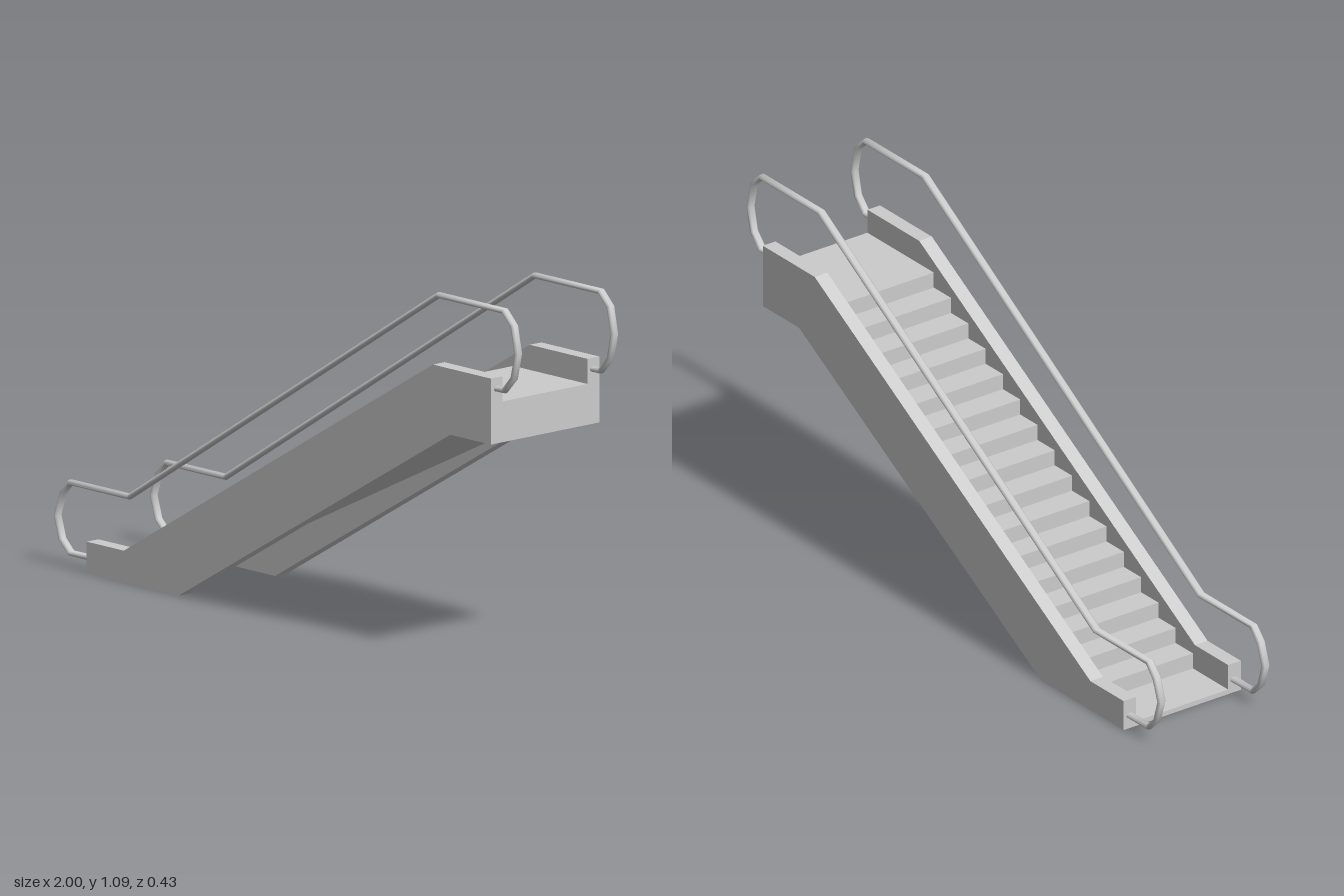
import * as THREE from 'three';
import { toCreasedNormals } from 'three/addons/utils/BufferGeometryUtils.js';

const material = new THREE.MeshStandardMaterial({ color: 0xcccccc });
const INNER = 0.168, OUTER = 0.214, RAIL_Z = 0.19;

// Extrudes a side profile (x, y) between two z values.
function slab(name, points, z0, z1) {
  const shape = new THREE.Shape(points.map(([x, y]) => new THREE.Vector2(x, y)));
  const geometry = new THREE.ExtrudeGeometry(shape, { depth: z1 - z0, bevelEnabled: false });
  geometry.translate(0, 0, z0);
  const mesh = new THREE.Mesh(geometry, material);
  mesh.name = name;
  return mesh;
}

// Sweeps an elliptical section along an x-y path, one ring per corner.
function sweep(path, halfWidth, halfHeight, sides) {
  const pts = path.map(([x, y]) => new THREE.Vector2(x, y));
  const positions = [], index = [];
  pts.forEach((p, i) => {
    const before = pts[Math.max(i - 1, 0)], after = pts[Math.min(i + 1, pts.length - 1)];
    const t = new THREE.Vector2();
    if (i > 0) t.add(p.clone().sub(before).normalize());
    if (i < pts.length - 1) t.add(after.clone().sub(p).normalize());
    t.normalize();
    for (let k = 0; k < sides; k++) {
      const a = (k / sides) * Math.PI * 2;
      const h = Math.cos(a) * halfHeight;
      positions.push(p.x - t.y * h, p.y + t.x * h, Math.sin(a) * halfWidth);
    }
  });
  for (let i = 0; i < pts.length - 1; i++) {
    for (let k = 0; k < sides; k++) {
      const a = i * sides + k, b = i * sides + (k + 1) % sides;
      index.push(a, b, a + sides, b, b + sides, a + sides);
    }
  }
  // End caps
  const last = (pts.length - 1) * sides;
  for (let k = 1; k < sides - 1; k++) {
    index.push(0, k + 1, k, last, last + k, last + k + 1);
  }
  const geometry = new THREE.BufferGeometry();
  geometry.setAttribute('position', new THREE.Float32BufferAttribute(positions, 3));
  geometry.setIndex(index);
  return toCreasedNormals(geometry, 0.9);
}

export function createModel() {
  const model = new THREE.Group();
  model.name = 'escalator';

  // Side panels
  const panel = [
    [-0.84, 0], [-0.445, 0], [0.725, 0.678], [0.9, 0.678],
    [0.9, 0.875], [0.65, 0.875], [-0.68, 0.095], [-0.84, 0.095],
  ];
  model.add(slab('leftSidePanel', panel, INNER, OUTER));
  model.add(slab('rightSidePanel', panel, -OUTER, -INNER));

  // Stair body: landings, sloping underside and a run of steps
  const risers = 16, x0 = -0.67, x1 = 0.58, y0 = 0.015, y1 = 0.8;
  const run = (x1 - x0) / (risers - 1), rise = (y1 - y0) / risers;
  const body = [[-0.84, 0], [-0.645, 0], [-0.645, y0], [0.725, 0.678], [0.9, 0.678], [0.9, y1]];
  for (let i = risers - 1; i >= 0; i--) {
    const x = x0 + i * run;
    body.push([x, y0 + (i + 1) * rise], [x, y0 + i * rise]);
  }
  body.push([-0.84, y0]);
  model.add(slab('steps', body, -INNER, INNER));

  // Handrails looping round both ends
  const rail = sweep([
    [-0.82, 0.042], [-0.932, 0.042], [-0.97, 0.078], [-0.991, 0.147], [-0.968, 0.215],
    [-0.934, 0.253], [-0.68, 0.253], [0.65, 1.079], [0.934, 1.079], [0.974, 1.04],
    [0.991, 0.96], [0.974, 0.885], [0.934, 0.842], [0.88, 0.842],
  ], 0.0135, 0.009, 10);
  for (const side of [1, -1]) {
    const mesh = new THREE.Mesh(rail, material);
    mesh.name = side > 0 ? 'leftHandrail' : 'rightHandrail';
    mesh.position.z = side * RAIL_Z;
    model.add(mesh);
  }
  return model;
}
